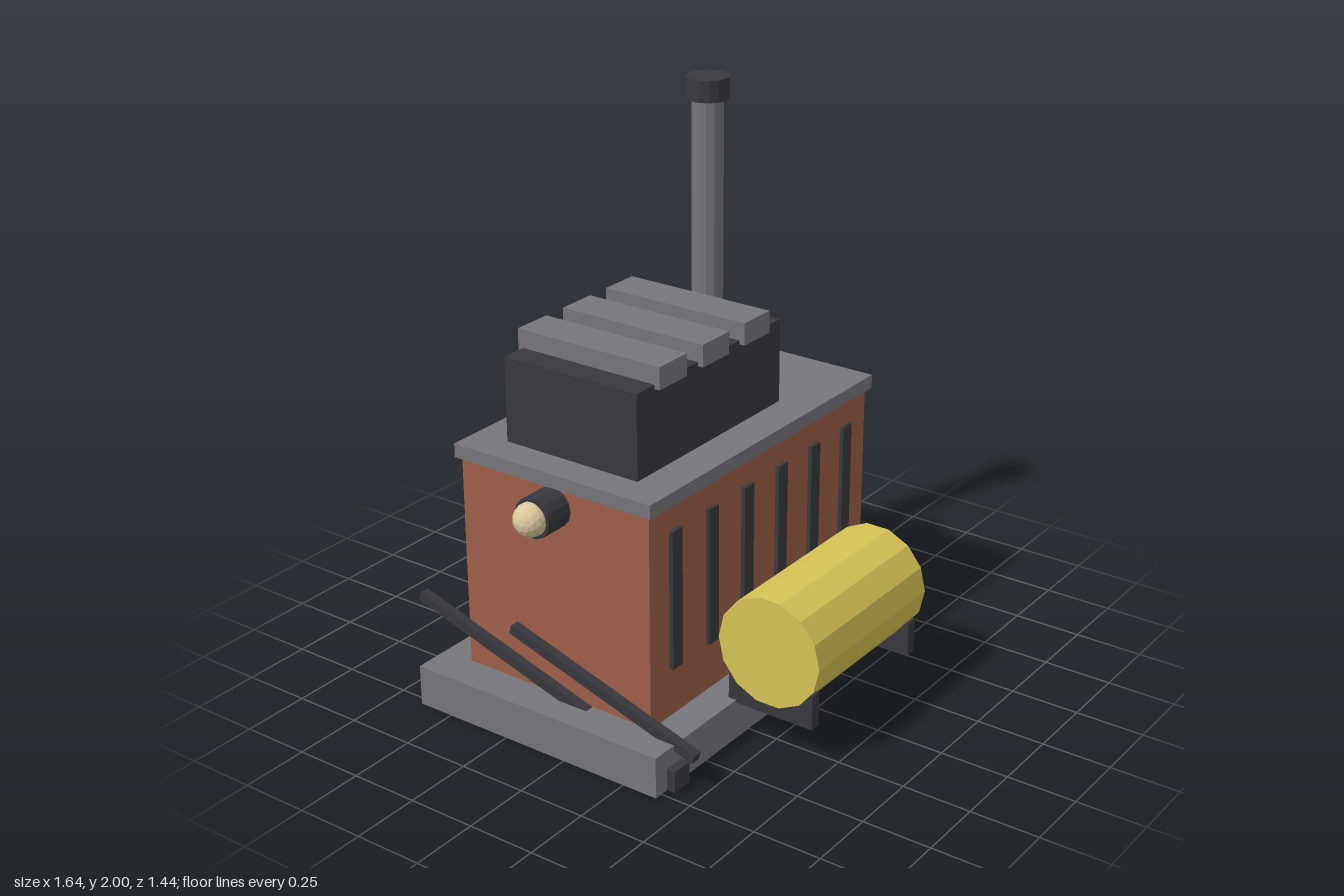
import * as THREE from 'three';

const mat = (name, color, flatShading = false) => {
  const m = new THREE.MeshStandardMaterial({ color, flatShading });
  m.name = name;
  return m;
};

export function createModel() {
  const model = new THREE.Group();
  model.name = 'engineUnit';
  const brick = mat('brickRed', 0x9e5f4a, true);
  const grey = mat('steelGrey', 0x77767b, true);
  const dark = mat('darkIron', 0x39383d, true);
  const yellow = mat('tankYellow', 0xd8c355, true);
  const brass = mat('panelBrass', 0xc4a96a, true);
  const cream = mat('lampCream', 0xdac99c, true);

  const add = (name, geometry, material, x, y, z) => {
    const mesh = new THREE.Mesh(geometry, material);
    mesh.name = name;
    mesh.position.set(x, y, z);
    model.add(mesh);
    return mesh;
  };
  // Box given by its extents along each axis
  const box = (name, material, [x0, x1], [y0, y1], [z0, z1]) =>
    add(name, new THREE.BoxGeometry(x1 - x0, y1 - y0, z1 - z0), material,
      (x0 + x1) / 2, (y0 + y1) / 2, (z0 + z1) / 2);
  const cyl = (r, length, sides) => new THREE.CylinderGeometry(r, r, length, sides);

  const midZ = -0.125;

  // Base, housing and roof
  box('base', grey, [-0.78, 0.78], [0, 0.15], [-0.635, 0.385]);
  box('housing', brick, [-0.645, 0.645], [0.15, 0.935], [-0.515, 0.265]);
  box('roof', grey, [-0.662, 0.662], [0.93, 0.98], [-0.533, 0.283]);

  // Skids running under the base
  for (const x of [-0.68, 0.68])
    box('skid', dark, [x - 0.04, x + 0.04], [0.001, 0.08], [-0.668, 0.418]);

  // Vertical vents on the front and back
  for (let i = 0; i < 6; i++) {
    const x = -0.512 + i * 0.2045;
    for (const z of [0.265, -0.515])
      box('vent', dark, [x - 0.027, x + 0.027], [0.33, 0.835], [z - 0.015, z + 0.015]);
  }

  // Engine block with three head covers
  box('engineBlock', dark, [-0.545, 0.27], [0.975, 1.285], [-0.4, 0.145]);
  for (const x of [-0.375, -0.1375, 0.1])
    box('headCover', grey, [x - 0.074, x + 0.074], [1.27, 1.35], [-0.42, 0.165]);

  // Exhaust stack and cap
  add('exhaustStack', cyl(0.058, 0.96, 12), grey, 0.555, 1.455, -0.365);
  add('exhaustCap', cyl(0.08, 0.08, 14), dark, 0.555, 1.96, -0.365);

  // Fuel tank and its brackets
  add('fuelTank', cyl(0.2, 0.675, 14), yellow, 0, 0.38, 0.52).rotation.z = Math.PI / 2;
  for (const x of [-0.307, 0.307])
    box('tankBracket', dark, [x - 0.02, x + 0.02], [0.14, 0.27], [0.355, 0.69]);

  // Side lamps
  for (const s of [-1, 1]) {
    add('lampHousing', cyl(0.072, 0.13, 14), dark, s * 0.69, 0.855, midZ).rotation.z = Math.PI / 2;
    add('lampBulb', new THREE.IcosahedronGeometry(0.06, 2), cream, s * 0.76, 0.855, midZ);
  }

  // Back panel with round gauge
  box('backPanel', brass, [0.24, 0.58], [0.48, 0.82], [-0.555, -0.51]);
  add('gauge', cyl(0.082, 0.04, 16), dark, 0.41, 0.687, -0.557).rotation.x = Math.PI / 2;

  // Slanted levers on one side
  for (const z of [-0.33, 0.08])
    add('lever', new THREE.BoxGeometry(0.035, 0.035, 0.8), dark, -0.662, 0.24, z).rotation.x = 0.3;

  return model;
}
